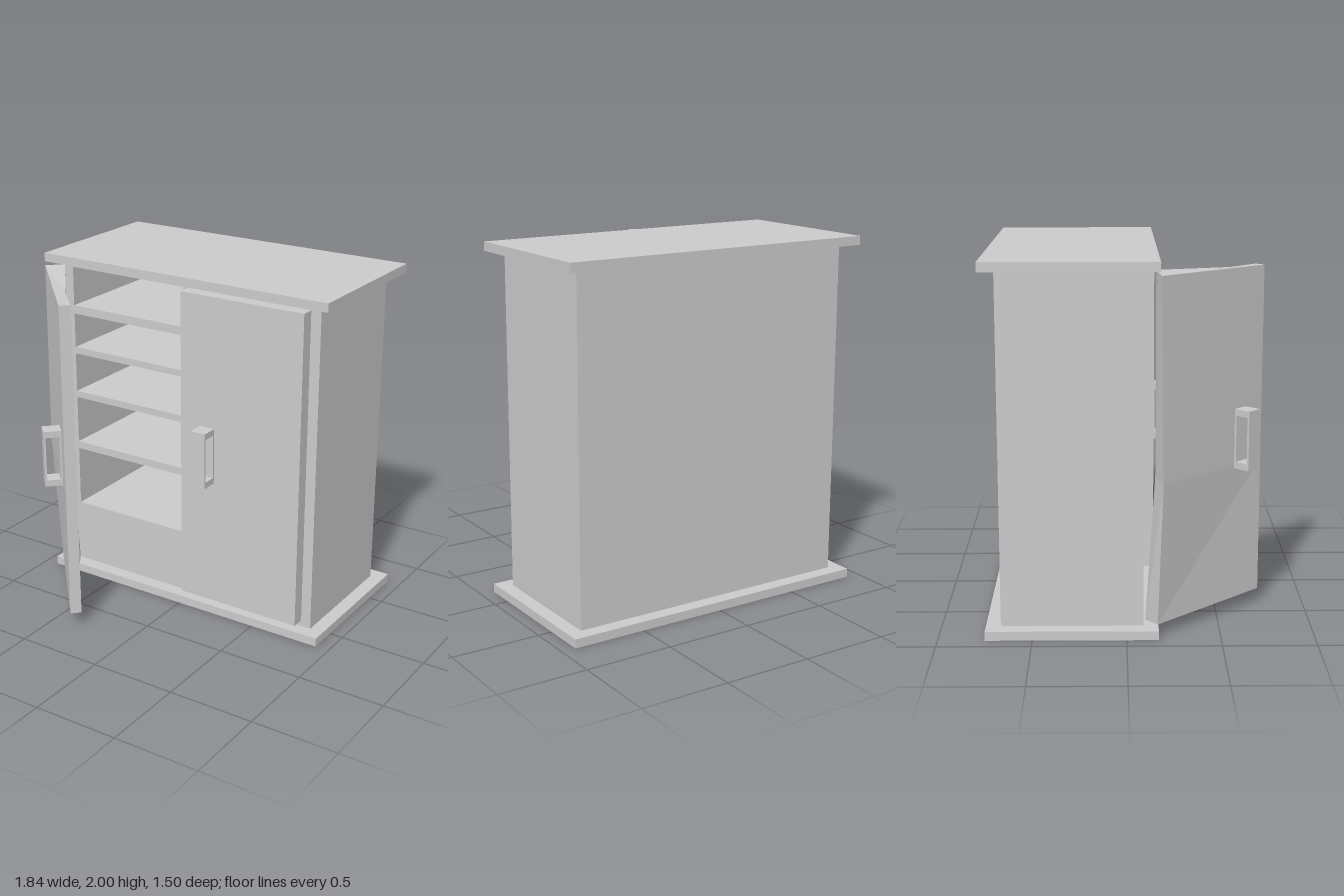
import * as THREE from 'three';

const mat = new THREE.MeshStandardMaterial({ color: 0xcccccc, flatShading: true });

export function createModel() {
  const model = new THREE.Group();
  model.name = 'cupboard';

  // box given by its min and max along each axis
  const box = (name, [x0, x1], [y0, y1], [z0, z1], parent = model) => {
    const mesh = new THREE.Mesh(new THREE.BoxGeometry(x1 - x0, y1 - y0, z1 - z0), mat);
    mesh.position.set((x0 + x1) / 2, (y0 + y1) / 2, (z0 + z1) / 2);
    mesh.name = name;
    parent.add(mesh);
  };

  const BACK = -0.67, FRONT = 0.09;

  // overhanging top and base slabs
  box('topSlab', [-0.92, 0.92], [1.95, 2], [-0.75, 0.17]);
  box('baseSlab', [-0.92, 0.92], [0, 0.05], [-0.75, 0.17]);

  // carcass
  box('backPanel', [-0.84, 0.84], [0.05, 1.95], [BACK, BACK + 0.05]);
  box('leftWall', [0.78, 0.84], [0.05, 1.95], [BACK, FRONT]);
  box('rightWall', [-0.84, -0.78], [0.05, 1.95], [BACK, FRONT]);
  box('innerCeiling', [-0.78, 0.78], [1.92, 1.95], [BACK, FRONT]);
  box('innerFloor', [-0.78, 0.78], [0.05, 0.085], [BACK, FRONT]);
  box('divider', [-0.02, 0.02], [0.085, 1.92], [BACK, FRONT - 0.005]);

  // shelves and the closed plinth box under the lowest one, both bays
  for (const [x0, x1] of [[-0.78, -0.02], [0.02, 0.78]]) {
    for (const [y0, y1] of [[1.64, 1.69], [1.395, 1.435], [1.12, 1.16], [0.79, 0.835]])
      box('shelf', [x0, x1], [y0, y1], [BACK, FRONT]);
    box('lowerBox', [x0, x1], [0.085, 0.43], [BACK, FRONT]);
  }

  // closed left door
  box('leftDoor', [0.015, 0.78], [0.085, 1.92], [FRONT, 0.165]);

  // swung-open right door, its hinge end slightly warped
  model.add(openDoor());

  const leftHandle = handle('leftHandle');
  leftHandle.position.set(0.19, 0.997, 0.162);
  model.add(leftHandle);

  const rightHandle = handle('rightHandle');
  rightHandle.position.set(-0.49, 0.997, 0.618);
  rightHandle.rotation.y = -Math.PI / 4;
  // thin fixing strips on the inner face of the open door
  for (const s of [-1, 1]) {
    const c = s * 0.147;
    box('fixingPlate', [-0.045, 0.045], [c - 0.018, c + 0.018], [-0.072, -0.06], rightHandle);
  }
  model.add(rightHandle);

  return model;
}

// rectangular loop handle, open from side to side
function handle(name) {
  const rect = (P, x0, x1, h) => {
    const p = new P();
    p.moveTo(x0, -h);
    p.lineTo(x1, -h);
    p.lineTo(x1, h);
    p.lineTo(x0, h);
    p.closePath();
    return p;
  };
  const shape = rect(THREE.Shape, 0, 0.1, 0.165);
  shape.holes.push(rect(THREE.Path, 0.012, 0.088, 0.128));
  const geo = new THREE.ExtrudeGeometry(shape, { depth: 0.09, bevelEnabled: false });
  geo.rotateY(-Math.PI / 2).translate(0.045, 0, 0);
  const group = new THREE.Group();
  group.name = name;
  const mesh = new THREE.Mesh(geo, mat);
  mesh.name = 'handleLoop';
  group.add(mesh);
  return group;
}

// door lofted through three level sections: hinge outer, free end, hinge inner
function openDoor() {
  const section = (y, hingeOuter, hingeInner) => [
    hingeOuter, [-0.365, y, 0.745], [-0.32, y, 0.7], [-0.47, y, 0.55], hingeInner,
  ];
  const rings = [
    section(0.085, [-0.875, 0.07, 0.165], [-0.79, 0.065, 0.1]),
    section(0.85, [-0.91, 0.85, 0.19], [-0.79, 0.85, 0.15]),
    section(1.92, [-0.915, 1.93, 0.175], [-0.79, 1.945, 0.15]),
  ];
  const n = 5, index = [];
  for (let r = 0; r < 2; r++)
    for (let i = 0; i < n; i++) {
      const a = r * n + i, b = r * n + (i + 1) % n;
      index.push(a, b, b + n, a, b + n, a + n);
    }
  for (const [a, b, c] of [[3, 4, 0], [3, 0, 1], [3, 1, 2]])
    index.push(a + 2 * n, b + 2 * n, c + 2 * n, a, c, b);
  const geo = new THREE.BufferGeometry();
  geo.setAttribute('position', new THREE.Float32BufferAttribute(rings.flat(2), 3));
  geo.setIndex(index);
  const flat = geo.toNonIndexed();
  flat.computeVertexNormals();
  const mesh = new THREE.Mesh(flat, mat);
  mesh.name = 'rightDoor';
  return mesh;
}
